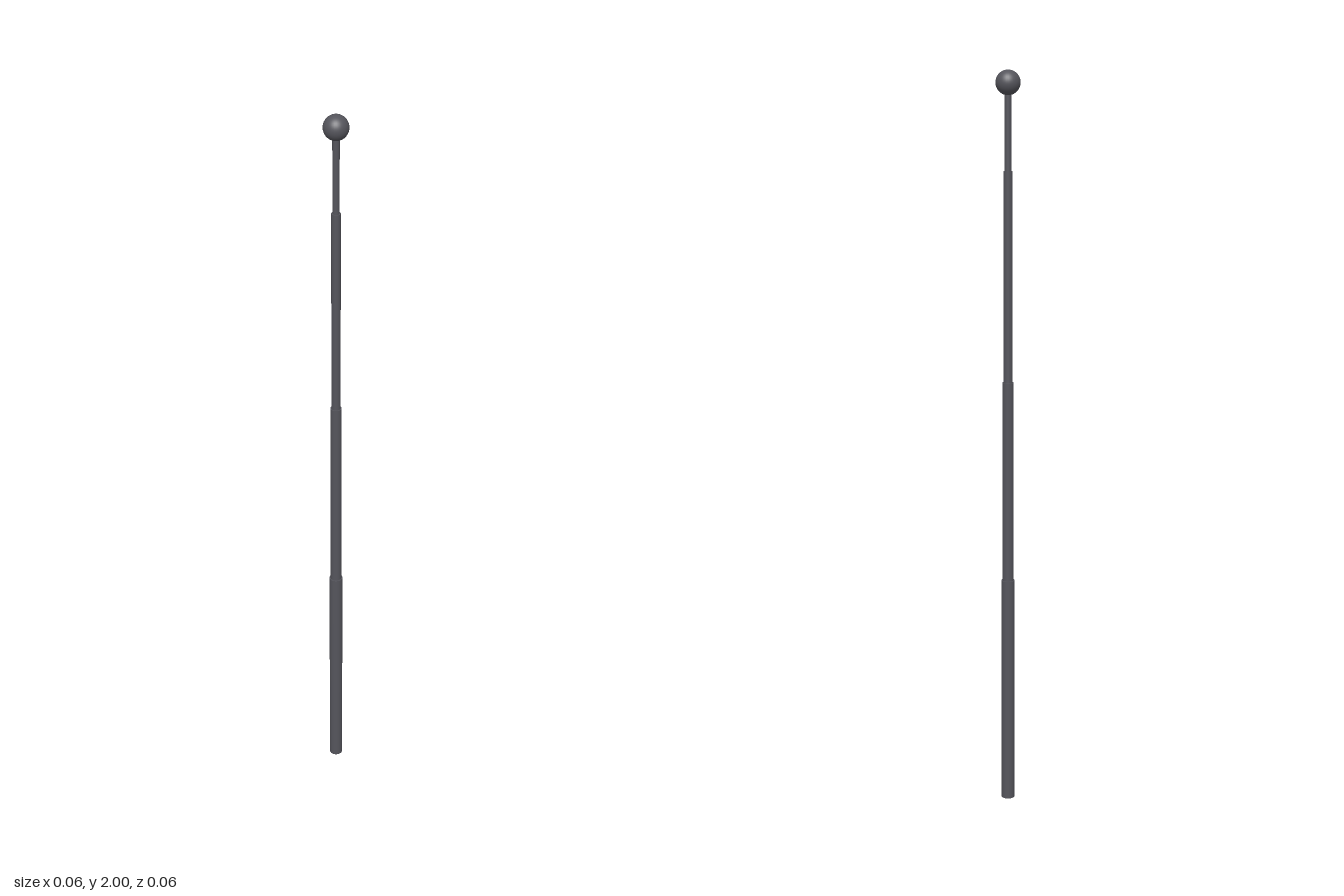
import * as THREE from 'three';

export function createModel() {
  const model = new THREE.Group();
  model.name = 'telescopicAntenna';
  const metal = new THREE.MeshStandardMaterial({ color: 0x55555c });

  // Nested tubes, widest at the base: [name, radius, bottom, top]
  const sections = [
    ['baseTube', 0.018, 0, 0.64],
    ['lowerTube', 0.015, 0.62, 1.19],
    ['upperTube', 0.012, 1.17, 1.745],
    ['tipRod', 0.009, 1.725, 1.95],
  ];
  for (const [name, radius, bottom, top] of sections) {
    const tube = new THREE.Mesh(new THREE.CylinderGeometry(radius, radius, top - bottom, 32), metal);
    tube.name = name;
    tube.position.y = (bottom + top) / 2;
    model.add(tube);
  }

  // Round knob on the tip
  const knob = new THREE.Mesh(new THREE.SphereGeometry(0.032, 32, 24), metal);
  knob.name = 'tipKnob';
  knob.position.y = 1.968;
  model.add(knob);

  return model;
}
